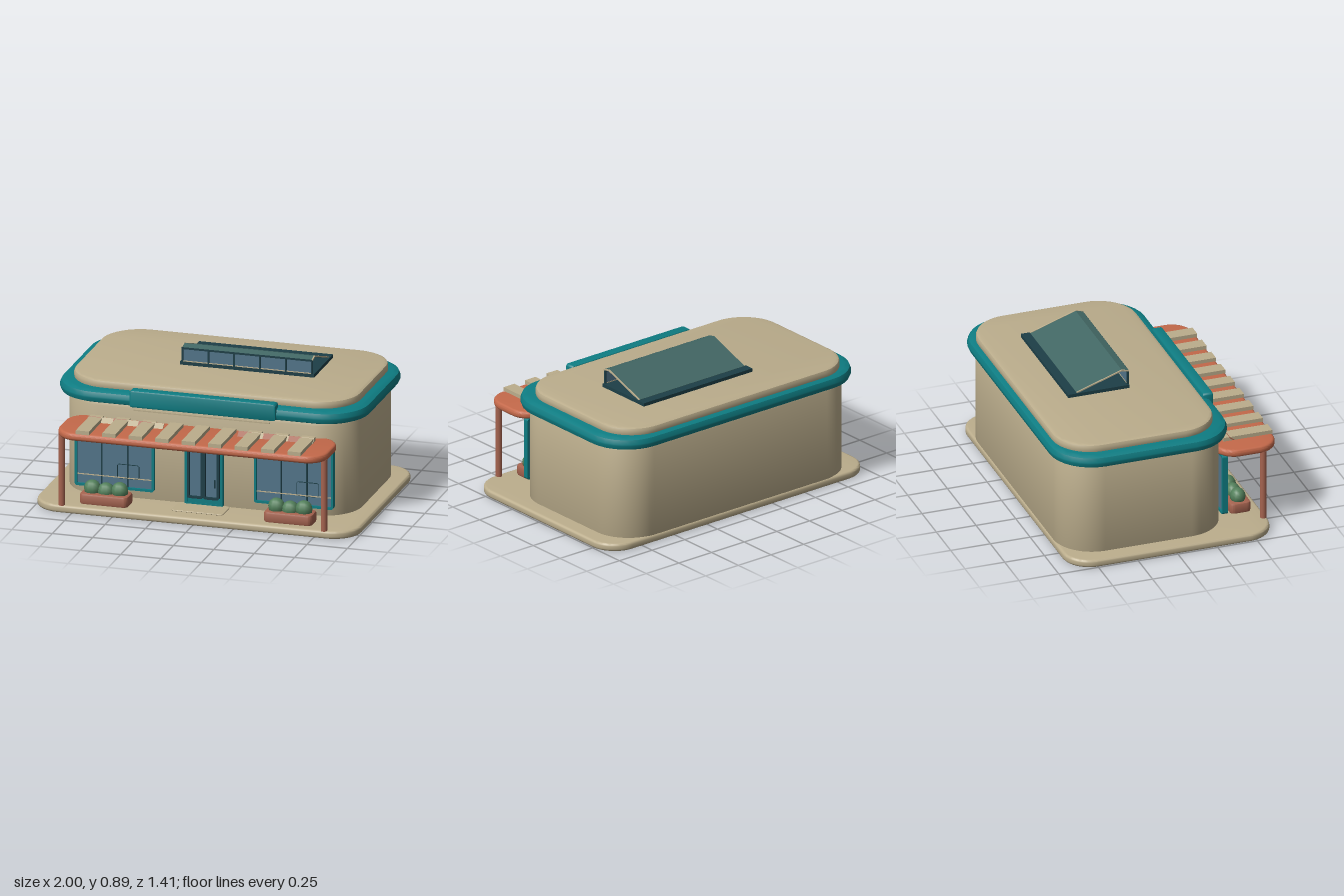
import * as THREE from 'three';
import { toCreasedNormals } from 'three/addons/utils/BufferGeometryUtils.js';

const mat = (name, color, side = THREE.FrontSide) => {
  const m = new THREE.MeshStandardMaterial({ color, side });
  m.name = name;
  return m;
};

export function createModel() {
  const tan = mat('sandPlaster', 0xbbad8c);
  const teal = mat('tealTrim', 0x0e7d83);
  const coral = mat('coral', 0xc4694a);
  const clay = mat('clay', 0xa5634f);
  const dark = mat('darkFrame', 0x1d3f47);
  const glass = mat('blueGlass', 0x52758a);
  const roofGlass = mat('roofGlass', 0x426764, THREE.DoubleSide);
  const green = mat('foliage', 0x527f5a);

  const model = new THREE.Group();
  model.name = 'cafeBuilding';

  const add = (parent, name, geo, material, x = 0, y = 0, z = 0) => {
    const m = new THREE.Mesh(geo, material);
    m.name = name;
    m.position.set(x, y, z);
    parent.add(m);
    return m;
  };
  const group = (name, x = 0, y = 0, z = 0) => {
    const g = new THREE.Group();
    g.name = name;
    g.position.set(x, y, z);
    model.add(g);
    return g;
  };
  // box given by its limits
  const box = (parent, name, material, x0, x1, y0, y1, z0, z1) =>
    add(parent, name, new THREE.BoxGeometry(x1 - x0, y1 - y0, z1 - z0), material,
      (x0 + x1) / 2, (y0 + y1) / 2, (z0 + z1) / 2);

  const roundRect = (w, h, r, Type = THREE.Shape) => {
    const s = new Type(), a = w / 2, b = h / 2;
    s.moveTo(-a + r, -b);
    s.lineTo(a - r, -b);
    s.absarc(a - r, -b + r, r, -Math.PI / 2, 0);
    s.lineTo(a, b - r);
    s.absarc(a - r, b - r, r, 0, Math.PI / 2);
    s.lineTo(-a + r, b);
    s.absarc(-a + r, b - r, r, Math.PI / 2, Math.PI);
    s.lineTo(-a, -b + r);
    s.absarc(-a + r, -b + r, r, Math.PI, Math.PI * 1.5);
    return s;
  };
  // horizontal slab with rounded corners and bevelled rims
  const slab = (parent, name, material, halfW, y0, y1, z0, z1, r, bevel, curveSegments = 8, bevelSegments = 3) => {
    const shape = roundRect(2 * (halfW - bevel), z1 - z0 - 2 * bevel, r - bevel);
    const geo = new THREE.ExtrudeGeometry(shape, {
      depth: y1 - y0 - 2 * bevel, bevelEnabled: true, bevelSize: bevel,
      bevelThickness: bevel, bevelSegments, curveSegments,
    });
    geo.translate(0, 0, bevel).rotateX(-Math.PI / 2);
    return add(parent, name, toCreasedNormals(geo, 0.6), material, 0, y0, (z0 + z1) / 2);
  };
  // upright frame with a rectangular opening
  const frame = (parent, name, material, w, h, t, depth, x, y, z) => {
    const s = roundRect(w, h, 0.015);
    s.holes.push(roundRect(w - 2 * t, h - 2 * t, 0.006, THREE.Path));
    return add(parent, name, new THREE.ExtrudeGeometry(s, { depth, bevelEnabled: false, curveSegments: 4 }),
      material, x, y, z);
  };

  // shell of the building
  slab(model, 'basePlate', tan, 1, 0, 0.048, -0.667, 0.625, 0.17, 0.015);
  slab(model, 'walls', tan, 0.9, 0.01, 0.64, -0.66, 0.363, 0.24, 0.035, 12, 2);
  slab(model, 'roofBand', teal, 0.955, 0.625, 0.705, -0.703, 0.405, 0.27, 0.035, 4, 2);
  slab(model, 'roofSlab', tan, 0.882, 0.69, 0.75, -0.665, 0.332, 0.24, 0.018, 6, 2);

  // blank sign board with a slim rail below it
  const board = new THREE.ExtrudeGeometry(roundRect(0.89, 0.09, 0.01), {
    depth: 0.045, bevelSize: 0.008, bevelThickness: 0.01, bevelSegments: 2, curveSegments: 4,
  });
  add(model, 'signBoard', toCreasedNormals(board, 0.6), teal, 0, 0.682, 0.365);
  box(model, 'signRail', tan, -0.42, 0.42, 0.616, 0.624, 0.424, 0.434);

  // shop windows
  for (const [name, x] of [['rightWindow', -0.555], ['leftWindow', 0.555]]) {
    const g = group(name, x);
    frame(g, 'windowFrame', teal, 0.49, 0.39, 0.014, 0.035, 0, 0.295, 0.351);
    box(g, 'windowPane', glass, -0.235, 0.235, 0.11, 0.48, 0.36, 0.372);
    for (const s of [-0.08, 0.08]) box(g, 'mullion', dark, s - 0.004, s + 0.004, 0.11, 0.48, 0.372, 0.377);
    box(g, 'windowRail', tan, -0.235, 0.235, 0.168, 0.173, 0.372, 0.378);
    frame(g, 'panelOutline', dark, 0.138, 0.09, 0.004, 0.004, 0.083, 0.21, 0.372);
  }

  // double door
  const door = group('door');
  frame(door, 'doorFrame', teal, 0.236, 0.425, 0.016, 0.035, 0, 0.26, 0.355);
  box(door, 'kickPlate', teal, -0.105, 0.105, 0.05, 0.095, 0.36, 0.387);
  for (const s of [-1, 1]) {
    frame(door, 'leafFrame', dark, 0.099, 0.362, 0.014, 0.03, s * 0.05, 0.276, 0.375);
    add(door, 'leafPane', new THREE.BoxGeometry(0.08, 0.345, 0.012), glass, s * 0.05, 0.276, 0.385);
  }
  add(door, 'doorHandle', new THREE.CylinderGeometry(0.005, 0.005, 0.05, 8), dark, 0.075, 0.2, 0.413);
  slab(door, 'doorStep', tan, 0.16, 0.046, 0.055, 0.37, 0.53, 0.02, 0.003, 4, 1);

  // pergola: canopy, slats and posts
  const pergola = group('pergola');
  slab(pergola, 'canopy', coral, 0.835, 0.485, 0.531, 0.327, 0.706, 0.13, 0.016);
  for (let i = -4; i <= 4; i++) {
    const x = i * 0.1637;
    box(pergola, 'slat', tan, x - 0.041, x + 0.041, 0.53, 0.554, 0.396, 0.703);
  }
  for (const s of [-1, 1]) {
    add(pergola, 'post', new THREE.CylinderGeometry(0.02, 0.02, 0.45, 16), clay, s * 0.812, 0.27, 0.605);
  }

  // striped awnings sloping through the canopy
  for (const s of [-1, 1]) {
    const g = group('awning', s * 0.465, 0.508, 0.492);
    g.rotation.x = Math.atan2(0.092, 0.12);
    for (let i = 0; i < 6; i++) {
      add(g, 'awningStripe', new THREE.BoxGeometry(0.078, 0.006, 0.15), i % 2 ? tan : clay, (i - 2.5) * 0.078, 0, 0);
    }
  }

  // planters with three shrubs each
  for (const s of [-1, 1]) {
    const g = group('planter', s * 0.57);
    slab(g, 'planterBox', clay, 0.15, 0.045, 0.112, 0.434, 0.566, 0.03, 0.012, 4, 2);
    for (let i = -1; i <= 1; i++) {
      const bush = add(g, 'shrub', new THREE.SphereGeometry(0.052, 10, 8), green, i * 0.085, i ? 0.132 : 0.122, 0.5);
      bush.scale.set(1, 1, 0.9);
    }
  }

  // roof light: frame, glazed front and sloping lid, open at the sides
  const light = group('roofLight', 0.135);
  box(light, 'lightBase', dark, -0.415, 0.415, 0.764, 0.785, -0.43, -0.045);
  box(light, 'lightGlazing', glass, -0.4, 0.4, 0.785, 0.865, -0.054, -0.05);
  box(light, 'lightHead', dark, -0.405, 0.405, 0.862, 0.874, -0.058, -0.044);
  box(light, 'lightSill', tan, -0.4, 0.4, 0.785, 0.79, -0.056, -0.045);
  for (let i = 0; i <= 5; i++) {
    const x = -0.4 + i * 0.16;
    box(light, 'lightPost', dark, x - 0.005, x + 0.005, 0.785, 0.87, -0.058, -0.044);
  }
  // lid cross-section as (-z, y), swept along x
  const lid = (name, material, width, x, lift) => {
    const s = new THREE.Shape([[0.045, 0.866], [0.09, 0.877], [0.375, 0.779], [0.375, 0.787], [0.09, 0.885], [0.045, 0.874]]
      .map(([u, v]) => new THREE.Vector2(u, v + lift)));
    const geo = new THREE.ExtrudeGeometry(s, { depth: width, bevelEnabled: false });
    geo.translate(0, 0, -width / 2).rotateY(Math.PI / 2);
    add(light, name, geo, material, x, 0, 0);
  };
  lid('lightLid', roofGlass, 0.8, 0, 0);
  for (const s of [-1, 1]) lid('lidEdge', tan, 0.008, s * 0.404, 0.002);

  return model;
}
